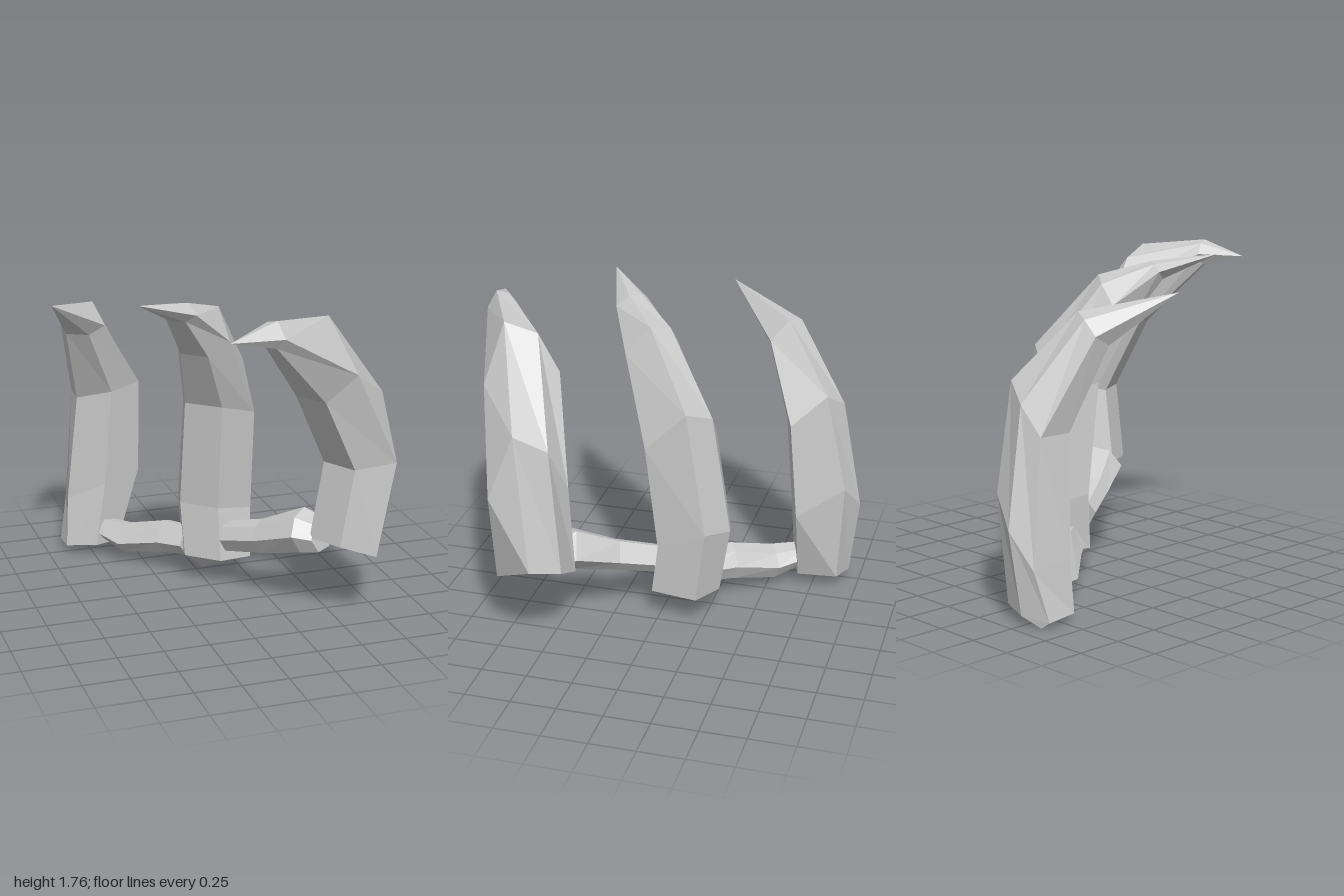
import * as THREE from 'three';

const material = new THREE.MeshStandardMaterial({ color: 0xcccccc, flatShading: true, side: THREE.DoubleSide });

// Six-sided section as depth, side, stagger: flat inner face, low flanks, raised outer ridge
const SECTION = [
  [0.7, -0.55, 0], [0.7, 0.45, 0], [0.05, 1, -1],
  [-1, 0.35, 1], [-0.8, -0.5, 0.3], [-0.1, -1, -1],
];

const v = (x, y, z) => new THREE.Vector3(x, y, z);
const UP = v(0, 1, 0);

function ring(center, depthAxis, sideAxis, depth, width, stagger = 0) {
  const along = depthAxis.clone().cross(sideAxis);
  return SECTION.map(([d, s, k]) => center.clone()
    .addScaledVector(depthAxis, d * depth)
    .addScaledVector(sideAxis, s * width)
    .addScaledVector(along, k * stagger));
}

// Skin a stack of rings and close both ends with a fan to a point
function loft(name, rings, start, end) {
  const pts = [];
  const n = SECTION.length;
  const last = rings[rings.length - 1];
  for (let j = 0; j < n; j++) {
    const k = (j + 1) % n;
    pts.push(start, rings[0][k], rings[0][j]);
    for (let i = 0; i < rings.length - 1; i++) {
      const a = rings[i], b = rings[i + 1];
      pts.push(a[j], a[k], b[j], a[k], b[k], b[j]);
    }
    pts.push(last[j], last[k], end);
  }
  const geometry = new THREE.BufferGeometry().setFromPoints(pts);
  geometry.computeVertexNormals();
  const mesh = new THREE.Mesh(geometry, material);
  mesh.name = name;
  return mesh;
}

// Curved claw. Each row: x, y, z, half depth, half width, forward tilt, sideways roll, stagger
function claw(name, [hx, hz], root, tip, rows) {
  const heading = v(hx, 0, hz).normalize();
  const side = v(heading.z, 0, -heading.x);
  const lean = (axis, degrees) => {
    const t = THREE.MathUtils.degToRad(degrees);
    return axis.clone().multiplyScalar(Math.cos(t)).addScaledVector(UP, Math.sin(t));
  };
  const rings = rows.map(([x, y, z, depth, width, tilt, roll, stagger]) =>
    ring(v(x, y, z), lean(heading, -tilt), lean(side, roll), depth, width, stagger));
  return loft(name, rings, v(...root), v(...tip));
}

// Faceted bar between two claws. Each row: x, y, z, half height, half width
function link(name, rows) {
  const centers = rows.map(([x, y, z]) => v(x, y, z));
  const along = centers[centers.length - 1].clone().sub(centers[0]).normalize();
  const across = along.clone().cross(v(0, -1, 0)).normalize();
  const down = across.clone().cross(along);
  const rings = rows.map((r, i) => ring(centers[i], down, across, r[3], r[4]));
  return loft(name, rings, centers[0], centers[centers.length - 1]);
}

export function createModel() {
  const group = new THREE.Group();
  group.name = 'clawSet';

  group.add(claw('backClaw', [-0.5, 0.86], [-0.6, 0.01, -0.89], [-0.83, 1.65, -0.16], [
    [-0.50, 0.07, -0.77, 0.18, 0.18, 0, 5, 0.01],
    [-0.45, 0.47, -0.79, 0.23, 0.25, 22, 25, 0.08],
    [-0.42, 1.06, -0.72, 0.19, 0.21, 28, 13, 0.06],
    [-0.58, 1.46, -0.51, 0.12, 0.13, 45, 0, 0.02],
  ]));

  group.add(claw('middleClaw', [-0.67, 0.74], [0.03, 0.03, -0.22], [-0.53, 1.77, 0.45], [
    [0.07, 0.17, -0.12, 0.21, 0.22, 0, 0, 0],
    [0.07, 0.50, -0.16, 0.24, 0.23, 8, 0, 0.05],
    [0.06, 1.12, -0.07, 0.22, 0.22, 14, 0, 0.09],
    [-0.09, 1.50, 0.13, 0.17, 0.16, 50, 0, 0.02],
    [-0.26, 1.67, 0.28, 0.06, 0.10, 60, 0, 0],
  ]));

  group.add(claw('frontClaw', [-0.88, 0.47], [0.57, 0.42, 0.59], [-0.23, 1.69, 1.0], [
    [0.58, 0.46, 0.58, 0.25, 0.21, 0, 0, 0.07],
    [0.61, 1.00, 0.61, 0.25, 0.21, 42, 0, 0.12],
    [0.34, 1.46, 0.72, 0.26, 0.20, 76, 0, 0.08],
    [0.01, 1.69, 0.93, 0.08, 0.08, 82, 0, 0.01],
  ]));

  // Bars joining the claws near their roots
  group.add(link('frontLink', [
    [0.09, 0.30, 0.04, 0.09, 0.08],
    [0.22, 0.36, 0.25, 0.10, 0.09],
    [0.38, 0.45, 0.46, 0.13, 0.13],
    [0.46, 0.44, 0.52, 0.10, 0.11],
  ]));
  group.add(link('backLink', [
    [-0.06, 0.21, -0.2, 0.10, 0.09],
    [-0.16, 0.20, -0.32, 0.11, 0.09],
    [-0.33, 0.14, -0.52, 0.10, 0.10],
    [-0.42, 0.16, -0.65, 0.07, 0.08],
  ]));

  return group;
}
